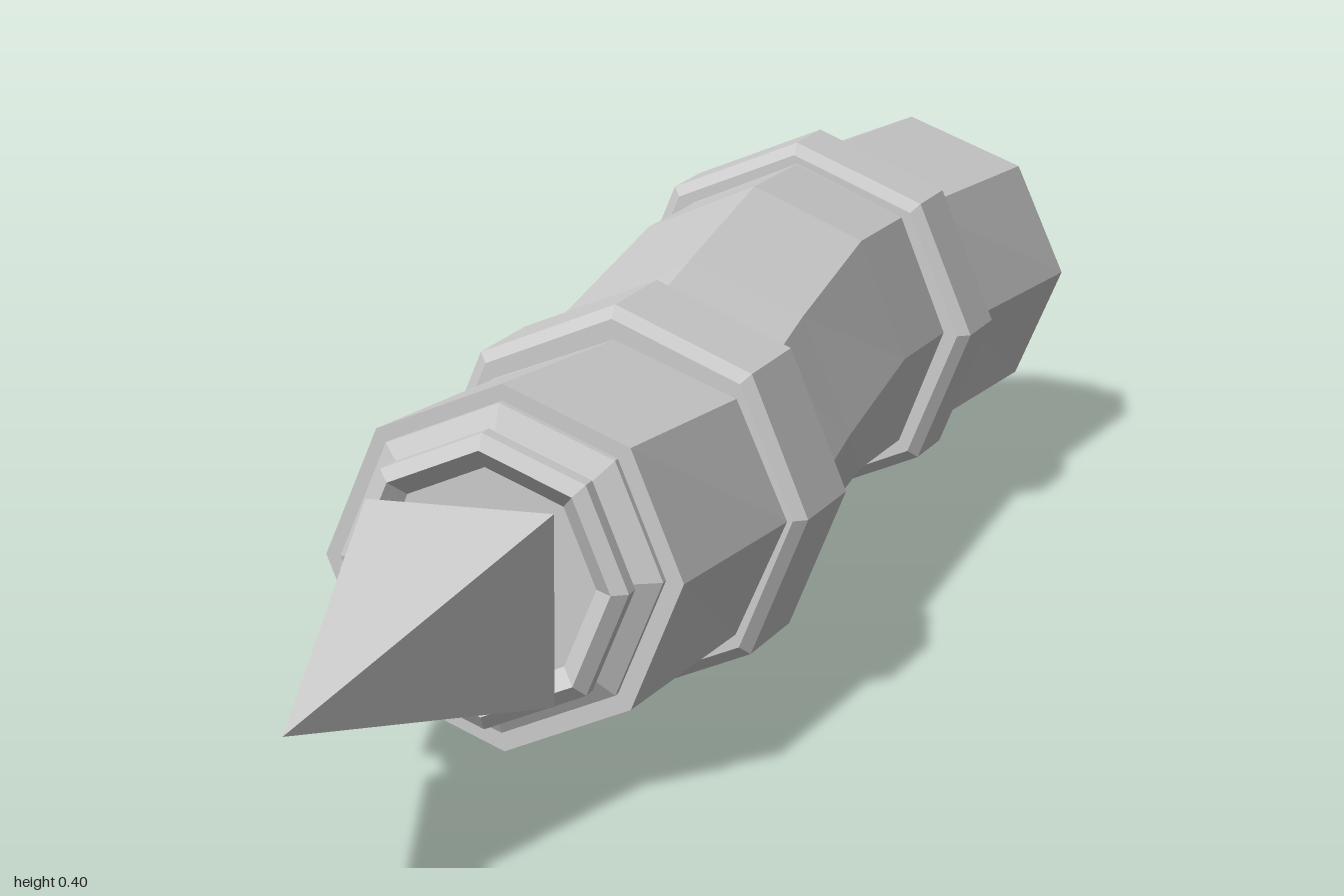
import * as THREE from 'three';

const SIDES = 8;
const material = new THREE.MeshStandardMaterial({ color: 0xcccccc, flatShading: true });

function add(parent, name, geometry) {
  const mesh = new THREE.Mesh(geometry, material);
  mesh.name = name;
  parent.add(mesh);
  return mesh;
}

// Capped octagonal tube through sections [z, centreX, centreY, radiusX, radiusY], back to front
function sectionTube(sections) {
  const positions = [], index = [];
  for (const [z, cx, cy, rx, ry] of sections) {
    for (let i = 0; i < SIDES; i++) {
      const a = (i / SIDES) * Math.PI * 2;
      positions.push(cx + rx * Math.cos(a), cy + ry * Math.sin(a), z);
    }
  }
  for (let s = 0; s < sections.length - 1; s++) {
    for (let i = 0; i < SIDES; i++) {
      const a = s * SIDES + i, b = s * SIDES + ((i + 1) % SIDES);
      index.push(a, b, b + SIDES, a, b + SIDES, a + SIDES);
    }
  }
  const last = (sections.length - 1) * SIDES;
  for (let i = 1; i < SIDES - 1; i++) {
    index.push(0, i + 1, i, last, last + i, last + i + 1);
  }
  const geometry = new THREE.BufferGeometry();
  geometry.setAttribute('position', new THREE.Float32BufferAttribute(positions, 3));
  geometry.setIndex(index);
  const flat = geometry.toNonIndexed();
  flat.computeVertexNormals();
  return flat;
}

// Octagonal turned part whose axis points to +z
function turned(profile) {
  const points = profile.map(([r, h]) => new THREE.Vector2(r, h));
  return new THREE.LatheGeometry(points, SIDES).rotateX(Math.PI / 2);
}

export function createModel() {
  const model = new THREE.Group();
  model.name = 'spikedHandle';

  // Gently bent octagonal grip
  add(model, 'grip', sectionTube([
    [-0.95, 0, 0.193, 0.178, 0.169],
    [-0.62, -0.023, 0.203, 0.174, 0.176],
    [-0.56, -0.022, 0.205, 0.166, 0.173],
    [-0.38, -0.014, 0.216, 0.164, 0.173],
    [-0.1, 0.003, 0.201, 0.167, 0.167],
    [0.06, 0.014, 0.192, 0.172, 0.163],
    [0.19, 0.019, 0.188, 0.174, 0.163],
    [0.47, 0.006, 0.198, 0.172, 0.173],
  ]));

  // Chamfered bands around the bends
  const bands = [
    ['rearBand', -0.615, -0.024, 0.202, 0.1, 0.197],
    ['frontBand', 0.12, 0.019, 0.189, 0.136, 0.194],
  ];
  for (const [name, z, x, y, width, r] of bands) {
    const h = width / 2;
    const band = add(model, name, turned([
      [0.15, -h], [r - 0.012, -h], [r, -h + 0.01], [r, h - 0.01], [r - 0.012, h], [0.15, h],
    ]));
    band.position.set(x, y, z);
    band.rotation.y = -0.035;
  }

  // Flanged end collars with a recessed face
  const collarProfile = [
    [0.155, -0.01], [0.155, 0.003], [0.124, 0.02], [0.124, 0.027], [0.138, 0.032],
    [0.138, 0.05], [0.124, 0.06], [0.105, 0.043], [0, 0.043],
  ];
  const frontCollar = add(model, 'frontCollar', turned(collarProfile));
  frontCollar.position.set(0.006, 0.2, 0.475);
  const rearCollar = add(model, 'rearCollar', turned(collarProfile));
  rearCollar.position.set(0, 0.194, -0.94);
  rearCollar.rotation.y = Math.PI;

  // Short neck and square spike
  const neck = add(model, 'neck', new THREE.CylinderGeometry(0.054, 0.054, 0.08, SIDES).rotateX(Math.PI / 2));
  neck.position.set(0, 0.192, 0.54);
  const spike = add(model, 'spike',
    new THREE.ConeGeometry(0.089 * Math.SQRT2, 0.43, 4).rotateY(Math.PI / 4).rotateX(Math.PI / 2));
  spike.position.set(0, 0.192, 0.785);

  return model;
}
